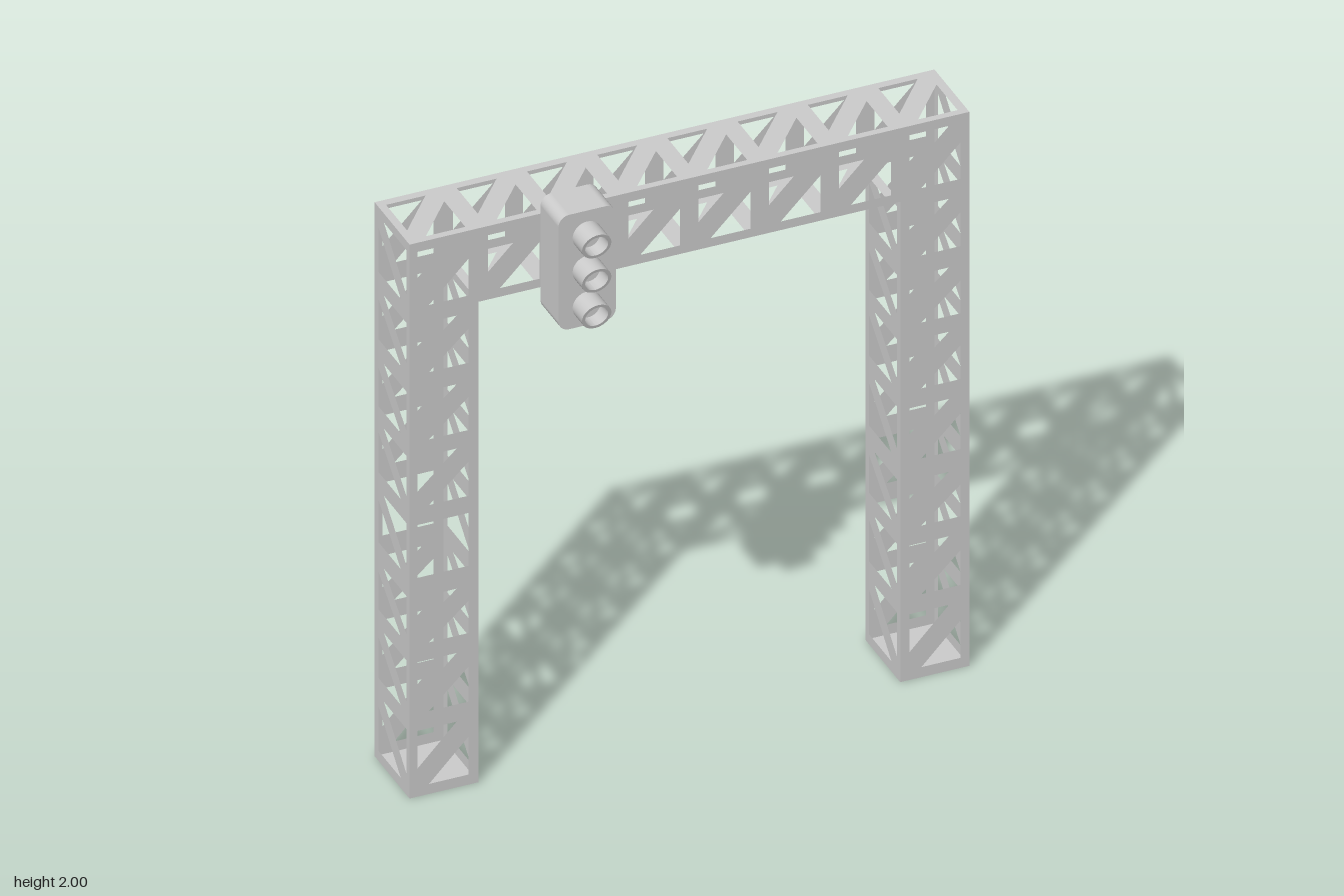
import * as THREE from 'three';

const grey = new THREE.MeshStandardMaterial({ color: 0xcccccc });
const sheet = new THREE.MeshStandardMaterial({ color: 0xcccccc, side: THREE.DoubleSide });

// Overall frame extents
const X = 0.903, XI = 0.68, TOP = 1.937, BEAM = 1.68, ZF = 0.021, ZB = -0.234;

// Bay openings: [start, end] along the legs and along the beam
const legBays = [[0.035, 0.23], [0.29, 0.47], [0.53, 0.695], [0.765, 0.95], [1.01, 1.185], [1.24, 1.41], [1.475, 1.65]];
const cornerBay = [1.71, 1.905];
const beamBays = [];
for (let i = 0; i < 6; i++) beamBays.push([-0.65 + i * 0.2265, -0.483 + i * 0.2265]);
const legX = [[-0.878, -0.713], [0.71, 0.875]];
const depthBay = [0.002, 0.207];

const polygon = (pts) => new THREE.Shape(pts.map(([x, y]) => new THREE.Vector2(x, y)));
const rect = (x0, y0, x1, y1) => polygon([[x0, y0], [x1, y0], [x1, y1], [x0, y1]]);

// Cuts one bay: two triangles leaving a rising diagonal brace, or a fully open window
function cutBay(shape, [x0, x1], [y0, y1], fx, fy, open = false) {
  if (open) { shape.holes.push(rect(x0, y0, x1, y1)); return; }
  const w = (x1 - x0) * fx, h = (y1 - y0) * fy;
  shape.holes.push(polygon([[x0, y1], [x0 + w, y1], [x0, y1 - h]]));
  shape.holes.push(polygon([[x1, y0], [x1 - w, y0], [x1, y0 + h]]));
}

function addPanel(group, name, shape) {
  const mesh = new THREE.Mesh(new THREE.ShapeGeometry(shape), sheet);
  mesh.name = name;
  group.add(mesh);
  return mesh;
}

function buildFrame() {
  const frame = new THREE.Group();
  frame.name = 'trussFrame';

  // Front and back portal panels
  for (const [name, z] of [['frontPanel', ZF], ['backPanel', ZB]]) {
    const s = polygon([[-X, 0], [-XI, 0], [-XI, BEAM], [XI, BEAM], [XI, 0], [X, 0], [X, TOP], [-X, TOP]]);
    legX.forEach((lx, side) => {
      legBays.forEach((b, i) => cutBay(s, lx, b, 0.77, 0.68, side === 0 && i === 3));
      cutBay(s, lx, cornerBay, 0.77, 0.66);
    });
    beamBays.forEach((b) => cutBay(s, b, cornerBay, 0.77, 0.66));
    addPanel(frame, name, s).position.z = z;
  }

  // Outer and inner leg sides
  for (const sx of [-1, 1]) {
    for (const outer of [true, false]) {
      const s = rect(-ZF, 0, -ZB, outer ? TOP : BEAM);
      const bays = outer ? [...legBays, cornerBay] : legBays;
      bays.forEach((b) => cutBay(s, depthBay, b, 0.8, 0.8));
      const p = addPanel(frame, outer ? 'legOuterSide' : 'legInnerSide', s);
      p.rotation.y = Math.PI / 2;
      p.position.x = sx * (outer ? X : XI);
    }
    // Closed foot plate
    const foot = addPanel(frame, 'footPlate', rect(-(X - XI) / 2, -ZF, (X - XI) / 2, -ZB));
    foot.rotation.x = -Math.PI / 2;
    foot.position.x = sx * (X + XI) / 2;
  }

  // Top and underside of the beam
  for (const top of [true, false]) {
    const hx = top ? X : XI;
    const s = rect(-hx, -ZF, hx, -ZB);
    const bays = top ? [legX[0], ...beamBays, legX[1]] : beamBays;
    bays.forEach((b) => cutBay(s, b, depthBay, 0.77, 0.75));
    const p = addPanel(frame, top ? 'beamTop' : 'beamUnderside', s);
    p.rotation.x = -Math.PI / 2;
    p.position.y = top ? TOP : BEAM;
  }
  return frame;
}

// Signal housing: rounded upright block
function buildHousing() {
  const w = 0.0925, h = 0.2, r = 0.035;
  const s = new THREE.Shape();
  s.absarc(w - r, h - r, r, 0, Math.PI / 2);
  s.absarc(-w + r, h - r, r, Math.PI / 2, Math.PI);
  s.absarc(-w + r, -h + r, r, Math.PI, Math.PI * 1.5);
  s.absarc(w - r, -h + r, r, Math.PI * 1.5, Math.PI * 2);
  const geo = new THREE.ExtrudeGeometry(s, { depth: 0.131, bevelEnabled: false, curveSegments: 10 });
  const mesh = new THREE.Mesh(geo, grey);
  mesh.name = 'signalHousing';
  mesh.position.set(-0.388, 1.8, ZF);
  return mesh;
}

// Lamp: hollow hood with a slanted mouth, and a recessed lens
function buildLamp(y) {
  const lamp = new THREE.Group();
  lamp.name = 'signalLamp';
  const R = 0.047, r = 0.037, len = 0.082, slant = 0.024;
  const walls = [
    ['hoodOuter', [[R, 0], [R, len]]],
    ['hoodRim', [[R, len], [r, len]]],
    ['hoodInner', [[r, len], [r, 0]]],
  ];
  for (const [name, pts] of walls) {
    const geo = new THREE.LatheGeometry(pts.map(([a, b]) => new THREE.Vector2(a, b)), 32);
    geo.rotateX(Math.PI / 2);
    // Pull the mouth back towards the bottom
    const p = geo.attributes.position;
    for (let i = 0; i < p.count; i++) {
      if (p.getZ(i) > len / 2) p.setZ(i, len - slant * (R - p.getY(i)) / (2 * R));
    }
    geo.computeVertexNormals();
    const mesh = new THREE.Mesh(geo, sheet);
    mesh.name = name;
    lamp.add(mesh);
  }
  const lens = new THREE.Mesh(new THREE.CircleGeometry(r, 32), grey);
  lens.name = 'lens';
  lens.position.z = 0.01;
  lamp.add(lens);
  lamp.position.set(-0.388, y, ZF + 0.131);
  return lamp;
}

export function createModel() {
  const model = new THREE.Group();
  model.name = 'signalGantry';
  model.add(buildFrame(), buildHousing());
  for (const y of [1.915, 1.795, 1.67]) model.add(buildLamp(y));
  return model;
}
